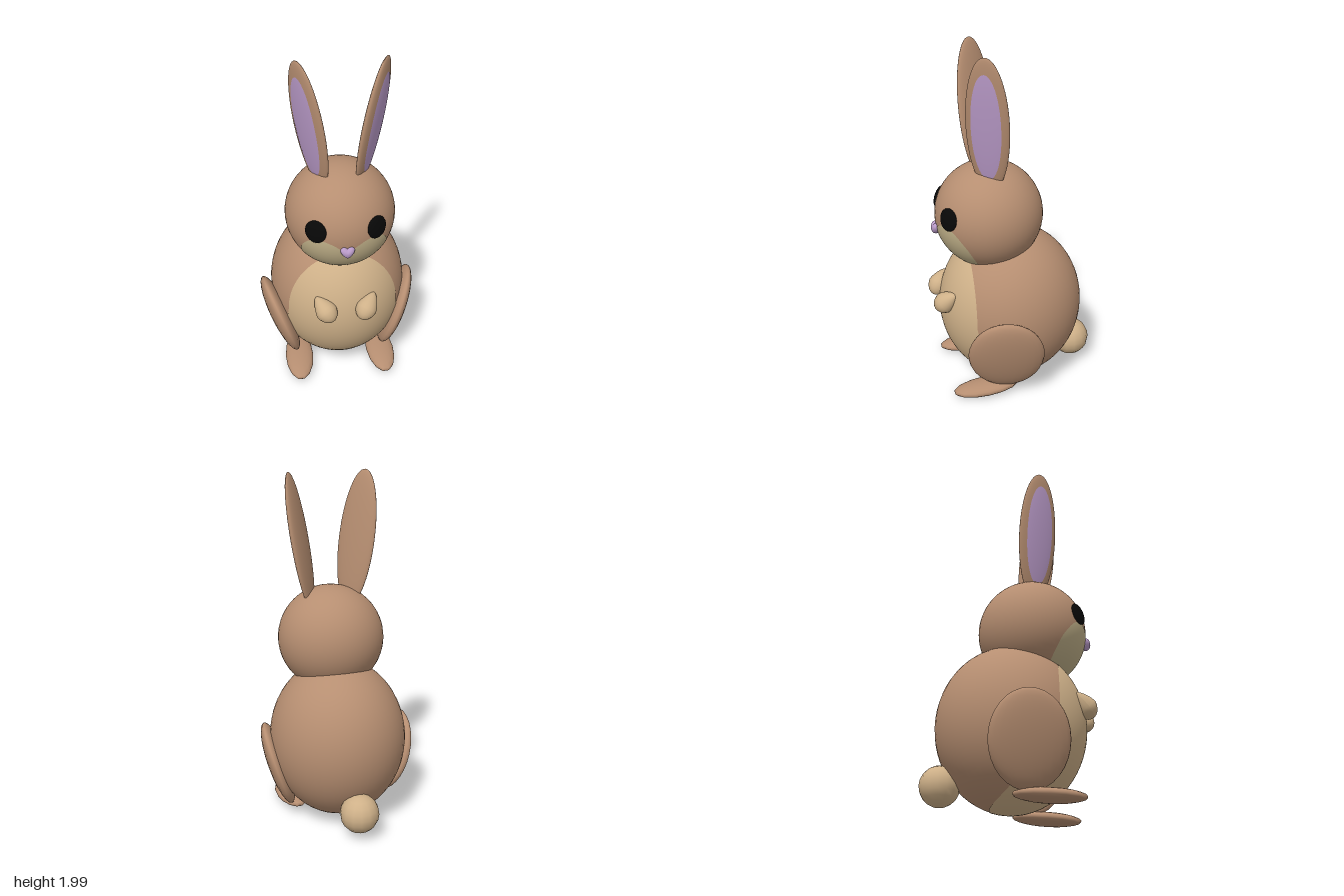
import * as THREE from 'three';

const V = (x, y, z) => new THREE.Vector3(x, y, z);
const deg = Math.PI / 180;

export function createModel() {
  const mat = (name, color) => {
    const m = new THREE.MeshStandardMaterial({ color });
    m.name = name;
    return m;
  };
  const brown = mat('brown fur', 0xb68e71);
  const cream = mat('cream fur', 0xcfb189);
  const pale = mat('pale muzzle fur', 0xc2b28a);
  const pink = mat('lilac skin', 0xba9bc9);
  const black = mat('black', 0x080808);

  const rabbit = new THREE.Group();
  rabbit.name = 'rabbit';
  const cx = 0.008; // trunk, head and ears sit a touch off the centre line

  // Places a geometry as a scaled part; up and normal set its local y and z axes
  const add = (name, geo, material, pos, scale, up, normal) => {
    const mesh = new THREE.Mesh(geo, material);
    mesh.name = name;
    mesh.position.set(...pos);
    mesh.scale.set(...scale);
    if (up) {
      const z = normal.clone().normalize();
      const y = up.clone().addScaledVector(z, -up.dot(z)).normalize();
      const x = y.clone().cross(z);
      mesh.quaternion.setFromRotationMatrix(new THREE.Matrix4().makeBasis(x, y, z));
    }
    rabbit.add(mesh);
    return mesh;
  };

  // Unit-sphere cap around +z whose edge angle (degrees) depends on the azimuth
  const patch = (edge, rings = 20, n = 72) => {
    const pos = [], idx = [];
    for (let i = 0; i <= rings; i++) {
      for (let j = 0; j < n; j++) {
        const a = (j / n) * Math.PI * 2;
        const t = (i / rings) * edge(a) * deg;
        pos.push(Math.sin(t) * Math.cos(a), Math.sin(t) * Math.sin(a), Math.cos(t));
        if (i < rings) {
          const k = (j + 1) % n, r = i * n, q = r + n;
          idx.push(r + j, q + j, q + k, r + j, q + k, r + k);
        }
      }
    }
    const g = new THREE.BufferGeometry();
    g.setAttribute('position', new THREE.Float32BufferAttribute(pos, 3));
    g.setAttribute('normal', new THREE.Float32BufferAttribute(pos, 3));
    g.setIndex(idx);
    return g;
  };

  const fine = new THREE.SphereGeometry(1, 48, 32);
  const medium = new THREE.SphereGeometry(1, 24, 16);
  const coarse = new THREE.SphereGeometry(1, 14, 10);
  const grow = (r, k) => r.map((v) => v * k);

  // Body with a belly patch that widens and runs underneath
  const bodyPos = [cx, 0.485, 0.015], bodyR = [0.393, 0.464, 0.413];
  add('body', fine, brown, bodyPos, bodyR);
  const belly = patch((a) => 52 + 54 * Math.pow(Math.max(0, -Math.sin(a)), 1.6));
  add('belly', belly, cream, bodyPos, grow(bodyR, 1.007));

  // Head with a two-lobed muzzle patch
  const headPos = [cx, 1.056, 0.138], headR = [0.305, 0.305, 0.305];
  add('head', fine, brown, headPos, headR);
  const muzzle = patch((a) => {
    const s = Math.sin(a);
    return 50 - 27 * Math.pow(Math.max(0, s), 5) - 6 * Math.max(0, -s);
  });
  muzzle.rotateX(35 * deg);
  add('muzzle', muzzle, pale, headPos, grow(headR, 1.007));

  // Nose: wide on top, narrowing downward
  const noseGeo = new THREE.SphereGeometry(1, 20, 14);
  const np = noseGeo.attributes.position;
  for (let i = 0; i < np.count; i++) {
    const y = np.getY(i);
    np.setX(i, np.getX(i) * (1 + 0.45 * y));
    if (y > 0) np.setY(i, y * (0.65 + 0.35 * Math.min(1, Math.abs(np.getX(i)) * 2)));
  }
  noseGeo.computeVertexNormals();
  add('nose', noseGeo, pink, [cx, 0.992, 0.44], [0.036, 0.036, 0.028]);

  // Egg shape for the front paws, tapering toward +y
  const egg = new THREE.SphereGeometry(1, 20, 14);
  const ep = egg.attributes.position;
  for (let i = 0; i < ep.count; i++) {
    const k = 1 - 0.4 * Math.max(-0.2, ep.getY(i));
    ep.setX(i, ep.getX(i) * k);
    ep.setZ(i, ep.getZ(i) * k);
  }
  egg.computeVertexNormals();

  const earLining = patch((a) => 43 + 8 * Math.sin(a) ** 2, 12, 48);

  for (const s of [-1, 1]) {
    const side = s > 0 ? 'left' : 'right';

    // Eye: flattened ball lying on the head
    const out = V(s * 0.163, 0.05, 0.253);
    add(side + 'Eye', medium, black,
      [cx + s * 0.163, 1.107, 0.392], [0.062, 0.064, 0.02], V(0, 1, 0), out);

    // Ear: flat ellipsoid leaning outward, lining on its outer front face
    const earPos = [cx + s * 0.167, 1.615, 0.172], earR = [0.124, 0.39, 0.032];
    const earUp = V(s * 0.155, 0.985, 0.06), earOut = V(s * 0.835, -0.16, 0.55);
    add(side + 'Ear', fine, brown, earPos, earR, earUp, earOut);
    add(side + 'EarLining', earLining, pink, earPos,
      [earR[0] * 1.01, earR[1] * 1.01, earR[2] * 1.06], earUp, earOut);

    // Front paw
    add(side + 'Paw', egg, cream, [cx + s * 0.12, 0.58, 0.412],
      [0.058, 0.085, 0.058], V(s * 0.055, 0.07, -0.06), V(0, 0.65, 0.76));

    // Haunch and foot
    add(side + 'Haunch', medium, brown, [s * 0.345, 0.313, 0.112],
      [0.215, 0.26, 0.058], V(s * 0.16, 0.48, 0), V(s, -0.33, 0.2));
    add(side + 'Foot', coarse, brown, [s * 0.246, 0.05, 0.212],
      [0.083, 0.037, 0.193], V(0, 1, 0.06), V(s * 0.04, -0.06, 1));
  }

  // Tail
  add('tail', coarse, cream, [0, 0.165, -0.362], [0.111, 0.112, 0.111]);

  return rabbit;
}
